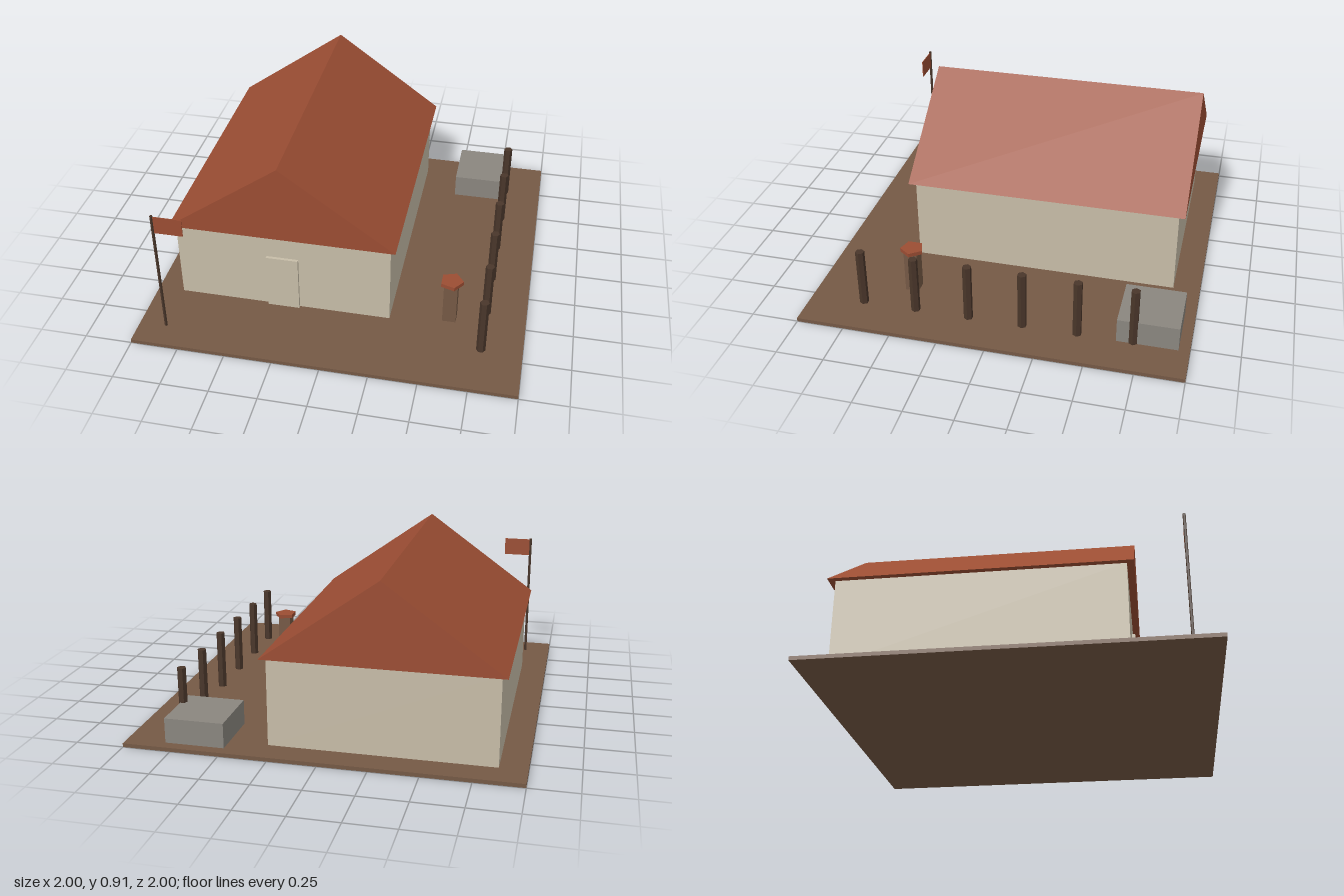
import * as THREE from 'three';

export function createModel() {
  const model = new THREE.Group();
  model.name = 'hallWithYard';

  const mat = (name, color, extra = {}) => {
    const m = new THREE.MeshStandardMaterial({ color, flatShading: true, ...extra });
    m.name = name;
    return m;
  };
  const earth = mat('earthBrown', 0x755945);
  const plaster = mat('palePlaster', 0xc7bda8);
  const tile = mat('redTile', 0x9b4d33);
  const wood = mat('darkWood', 0x49362a);
  const stone = mat('greyStone', 0x8a867f);

  const add = (name, geometry, material, x = 0, y = 0, z = 0) => {
    const mesh = new THREE.Mesh(geometry, material);
    mesh.name = name;
    mesh.position.set(x, y, z);
    model.add(mesh);
    return mesh;
  };
  // Box given by its limits on each axis
  const block = (name, material, [x0, x1], [y0, y1], [z0, z1]) =>
    add(name, new THREE.BoxGeometry(x1 - x0, y1 - y0, z1 - z0), material,
      (x0 + x1) / 2, (y0 + y1) / 2, (z0 + z1) / 2);
  // Upright prism with one corner pointing to +x
  const prism = (name, material, r, sides, x, [y0, y1], z) => {
    const g = new THREE.CylinderGeometry(r, r, y1 - y0, sides).rotateY(Math.PI / 2);
    return add(name, g, material, x, (y0 + y1) / 2, z);
  };

  const floor = 0.02;

  // Ground and house
  block('ground', earth, [-1, 1], [0, floor], [-1, 1]);
  block('walls', plaster, [-0.86, 0.286], [floor, 0.485], [-0.858, 0.572]);
  block('door', plaster, [-0.374, -0.203], [floor, 0.338], [0.56, 0.588]);

  // Gable roof, a solid triangle drawn along z
  const gable = new THREE.Shape([
    new THREE.Vector2(-0.89, 0.482),
    new THREE.Vector2(0.315, 0.482),
    new THREE.Vector2(-0.287, 0.914),
  ]);
  add('roof', new THREE.ExtrudeGeometry(gable, { depth: 1.498, bevelEnabled: false }), tile, 0, 0, -0.892);

  // Row of posts along the left edge
  for (let i = 0; i < 6; i++) {
    prism('post', wood, 0.024, 6, 0.786, [floor, 0.338], -0.715 + i * 0.2855);
  }

  // Pedestal with five-sided cap
  block('pedestalColumn', earth, [0.562, 0.634], [floor, 0.252], [0.463, 0.535]);
  prism('pedestalCap', tile, 0.063, 5, 0.598, [0.252, 0.273], 0.498);

  // Stone block in the back corner
  block('stoneBlock', stone, [0.487, 0.795], [floor, 0.151], [-0.944, -0.63]);

  // Flag
  prism('flagPole', wood, 0.008, 5, -0.858, [floor, 0.735], 0.857);
  block('flag', tile, [-0.855, -0.704], [0.632, 0.73], [0.855, 0.859]);

  return model;
}
